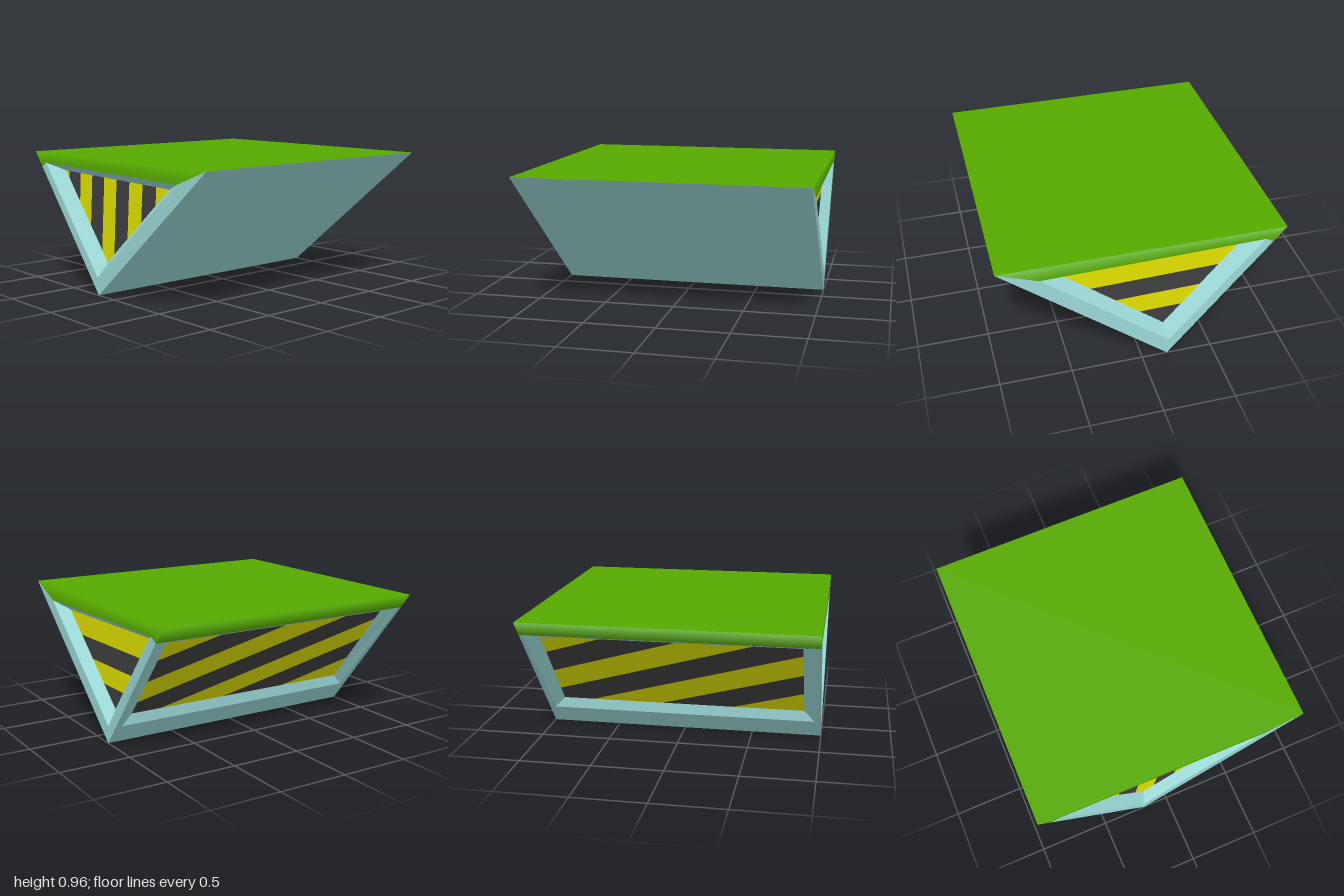
import * as THREE from 'three';

const V = (x, y, z) => new THREE.Vector3(x, y, z);
const mat = (name, color) => {
  const m = new THREE.MeshStandardMaterial({ color, side: THREE.DoubleSide });
  m.name = name;
  return m;
};

// Mesh of flat convex polygons, each wound so that it faces along `out`
function facesMesh(name, material, polys, out) {
  const pos = [];
  for (const poly of polys) {
    for (let i = 1; i < poly.length - 1; i++) {
      const [a, b, c] = [poly[0], poly[i], poly[i + 1]];
      const n = b.clone().sub(a).cross(c.clone().sub(a));
      if (n.length() < 1e-8) continue;
      for (const p of n.dot(out) >= 0 ? [a, b, c] : [a, c, b]) pos.push(p.x, p.y, p.z);
    }
  }
  const g = new THREE.BufferGeometry();
  g.setAttribute('position', new THREE.Float32BufferAttribute(pos, 3));
  g.computeVertexNormals();
  const mesh = new THREE.Mesh(g, material);
  mesh.name = name;
  return mesh;
}

// Lean the normals of the top vertices upwards, so the edge looks rounded
function softenTop(mesh, height) {
  const { position, normal } = mesh.geometry.attributes;
  for (let i = 0; i < position.count; i++) {
    if (position.getY(i) < height - 0.01) continue;
    const n = V(0, 0, 0).fromBufferAttribute(normal, i).add(V(0, 1, 0)).normalize();
    normal.setXYZ(i, n.x, n.y, n.z);
  }
  return mesh;
}

// Quads joining two loops of equal length
const ring = (a, b) => a.map((p, i) => {
  const j = (i + 1) % a.length;
  return [p, a[j], b[j], b[i]];
});

// Keep the part of a convex polygon where sign * (p . dir - limit) >= 0
function clip(poly, dir, limit, sign) {
  const res = [];
  poly.forEach((p, i) => {
    const q = poly[(i + 1) % poly.length];
    const dp = sign * (p.dot(dir) - limit), dq = sign * (q.dot(dir) - limit);
    if (dp >= 0) res.push(p);
    if (dp * dq < 0) res.push(p.clone().lerp(q, dp / (dp - dq)));
  });
  return res;
}

// Panel cut into alternating stripes, starting at `start` and running down against `dir`
function stripedPanel(name, poly, dir, start, step, mats, out) {
  const sets = [[], []];
  for (let i = 0; i < 12; i++) {
    const top = i === 0 ? 10 : start - (i - 1) * step;
    const band = clip(clip(poly, dir, top, -1), dir, start - i * step, 1);
    if (band.length > 2) sets[i % 2].push(band);
  }
  const g = new THREE.Group();
  g.name = name;
  sets.forEach((s, k) => g.add(facesMesh(k ? 'darkStripes' : 'yellowStripes', mats[k], s, out)));
  return g;
}

export function createModel() {
  const green = mat('green', 0x57aa00);
  const teal = mat('teal', 0x9cdad8);
  const stripes = [mat('yellow', 0xe3e300), mat('charcoal', 0x404040)];
  const model = new THREE.Group();
  model.name = 'wedge';

  const H = 0.96, D = 0.97, LIP = 0.89;
  // Point on the sloping back: t runs from the bottom edge (0) to the top edge (1)
  const back = (x, t) => V(x, H * t, -0.18 - (D - 0.18) * t);
  const up = back(0, 1).sub(back(0, 0)).normalize();
  const backOut = V(0, up.z, -up.y);

  // Top plate and the lip folded down behind it
  model.add(facesMesh('topPlate', green,
    [[V(-1, H, D), V(1, H, D), V(1, H, -D), V(-1, H, -D)]], V(0, 1, 0)));
  model.add(softenTop(facesMesh('backLip', green,
    [[back(-1, 1), back(1, 1), back(1, LIP), back(-1, LIP)]], backOut), H));

  // Plain sloping front
  model.add(facesMesh('frontPanel', teal,
    [[V(-1, H, D), V(1, H, D), back(1, 0), back(-1, 0)]], V(0, -0.77, 0.64)));

  // Triangular sides: frame, green cheek, sloped recess and striped panel
  for (const s of [1, -1]) {
    const P = (z, y, x = 1) => V(s * x, y, z);
    const out = V(s, 0, 0);
    const F = P(D, H), B = P(-D, H), L = back(s, LIP), bottom = back(s, 0);
    const hole = [P(0.69, 0.855), P(-0.83, 0.885), P(-0.19, 0.125)];
    const inner = [P(0.53, 0.805, 0.93), P(-0.67, 0.835, 0.93), P(-0.165, 0.23, 0.93)];
    const side = new THREE.Group();
    side.name = s > 0 ? 'leftSide' : 'rightSide';
    side.add(softenTop(facesMesh('cheek', green,
      [[F, B, hole[1], hole[0]], [B, L, hole[1]]], out), H));
    side.add(facesMesh('frame', teal,
      [[F, hole[0], hole[2], bottom], [L, hole[1], hole[2], bottom]], out));
    side.add(facesMesh('recessWalls', teal, ring(hole, inner), out));
    side.add(s > 0
      ? stripedPanel('stripedPanel', inner, V(0, 1, 0.025), 0.662, 0.146, stripes, out)
      : stripedPanel('stripedPanel', inner, V(0, -0.08, 1), 0.33, 0.146, stripes, out));
    model.add(side);
  }

  // Back: frame, shallow sloped recess and panel with diagonal stripes
  const rim = [back(-1, 0), back(1, 0), back(1, LIP), back(-1, LIP)];
  const hole = [back(-0.955, 0.155), back(0.955, 0.155), back(0.975, LIP), back(-0.975, LIP)];
  const inner = [[-0.88, 0.21], [0.88, 0.21], [0.88, 0.83], [-0.88, 0.83]]
    .map(([x, t]) => back(x, t).addScaledVector(backOut, -0.045));
  const a = 24 * Math.PI / 180;
  const dir = V(Math.sin(a), 0, 0).addScaledVector(up, Math.cos(a));
  const backSide = new THREE.Group();
  backSide.name = 'backSide';
  backSide.add(facesMesh('frame', teal, ring(rim, hole), backOut));
  backSide.add(facesMesh('recessWalls', teal, ring(hole, inner), backOut));
  backSide.add(stripedPanel('stripedPanel', inner, dir,
    inner[2].dot(dir) - 0.165, 0.21, stripes, backOut));
  model.add(backSide);

  return model;
}
